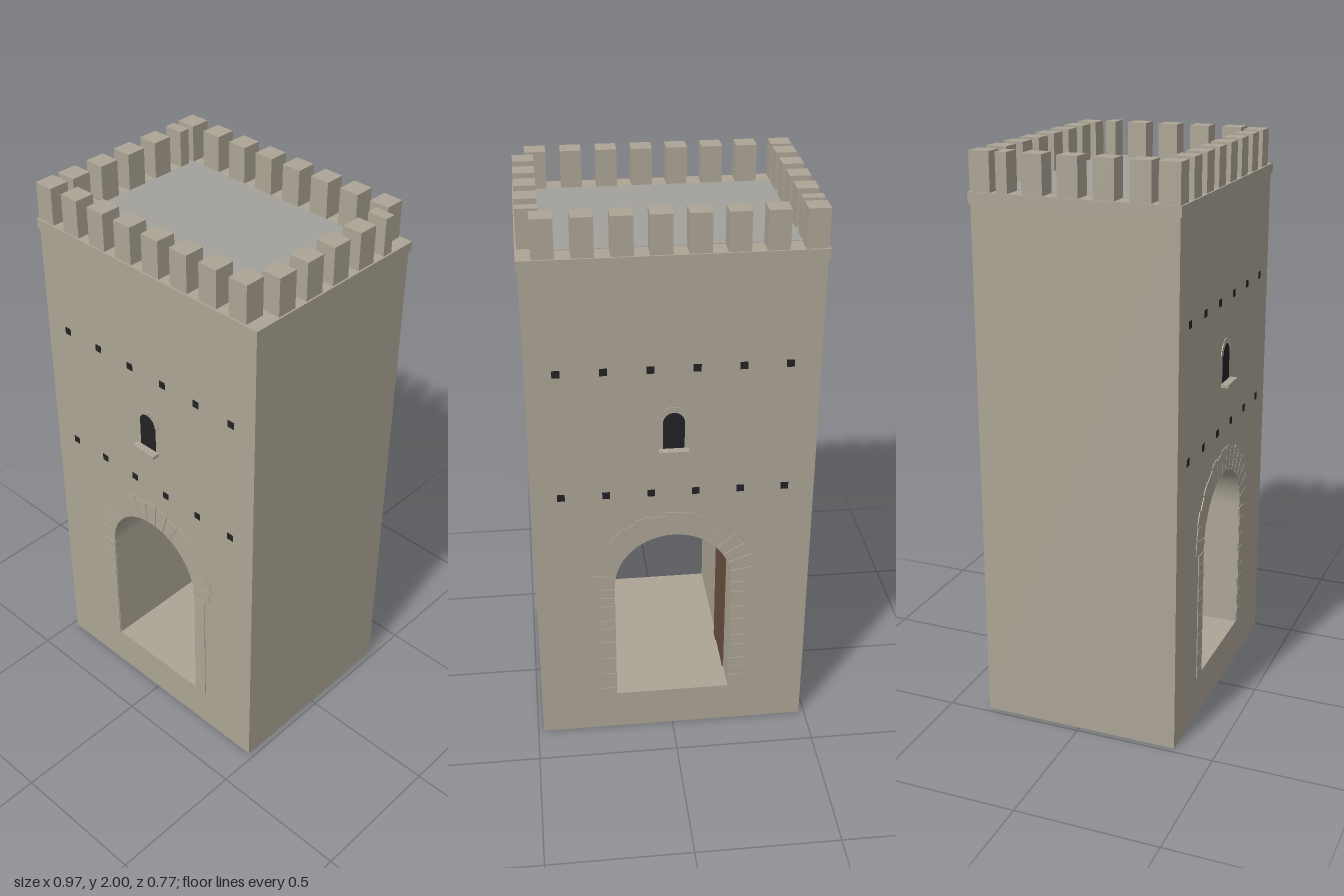
import * as THREE from 'three';

const mat = (color, side = THREE.FrontSide) =>
  new THREE.MeshStandardMaterial({ color, side, flatShading: true });
const STONE = mat(0xaca596), ROOF = mat(0xa3a19a), DARK = mat(0x222226), WOOD = mat(0x6b5040);

const W = 0.48, D = 0.355;            // half width and half depth of the tower
const GATE = { r: 0.205, base: 0.155, spring: 0.64 };
const WINDOW = { r: 0.036, base: 1.185, spring: 1.285 };

function add(parent, name, geometry, material, x = 0, y = 0, z = 0) {
  const mesh = new THREE.Mesh(geometry, material);
  mesh.name = name;
  mesh.position.set(x, y, z);
  parent.add(mesh);
  return mesh;
}

// Box given by its lower and upper corners
function block(parent, name, material, [x0, y0, z0], [x1, y1, z1]) {
  return add(parent, name, new THREE.BoxGeometry(x1 - x0, y1 - y0, z1 - z0), material,
    (x0 + x1) / 2, (y0 + y1) / 2, (z0 + z1) / 2);
}

function archOutline(shape, { r, base, spring }) {
  shape.moveTo(-r, base);
  shape.lineTo(r, base);
  shape.lineTo(r, spring);
  shape.absarc(0, spring, r, 0, Math.PI, false);
  shape.closePath();
  return shape;
}

const extrude = (shape, depth) =>
  new THREE.ExtrudeGeometry(shape, { depth, bevelEnabled: false, curveSegments: 24 });

function seeded(seed) {
  return () => (seed = (seed * 16807) % 2147483647) / 2147483647;
}

// Ring of slightly uneven wedge stones over an arch
function voussoirs(parent, name, cy, inner, outer, count, uneven, depth) {
  const rand = seeded(91);
  const step = Math.PI / count;
  for (let i = 0; i < count; i++) {
    const a0 = i * step + step * 0.03, a1 = (i + 1) * step - step * 0.03;
    const r = outer + (rand() - 0.5) * uneven;
    const s = new THREE.Shape();
    s.absarc(0, 0, r, a0, a1, false);
    s.absarc(0, 0, inner, a1, a0, true);
    s.closePath();
    add(parent, name, new THREE.ExtrudeGeometry(s, { depth, bevelEnabled: false, curveSegments: 3 }),
      STONE, 0, cy, D - 0.001);
  }
}

// Everything applied to one gate wall, built facing +z
function facade() {
  const g = new THREE.Group();
  const rand = seeded(37);

  voussoirs(g, 'gateArchStone', GATE.spring, GATE.r, 0.291, 17, 0.014, 0.004);

  // Jamb stones of varied height beside the gate
  for (const side of [-1, 1]) {
    const heights = Array.from({ length: 9 }, () => 0.6 + rand() * 0.8);
    const scale = (GATE.spring - 0.01 - GATE.base) / heights.reduce((a, b) => a + b);
    let y = GATE.base;
    for (const h of heights) {
      const top = y + h * scale;
      const xs = [side * 0.208, side * 0.258].sort((a, b) => a - b);
      block(g, 'gateJambStone', STONE, [xs[0], y, D - 0.001], [xs[1], top - 0.002, D + 0.003]);
      y = top;
    }
  }

  // Window with sill and small arch
  add(g, 'windowOpening', extrude(archOutline(new THREE.Shape(), WINDOW), 0.002), DARK, 0, 0, D - 0.001);
  voussoirs(g, 'windowArchStone', WINDOW.spring, WINDOW.r, 0.055, 9, 0.006, 0.004);
  block(g, 'windowSill', STONE, [-0.05, 1.175, D - 0.005], [0.05, 1.187, 0.383]);

  // Two rows of beam holes
  for (const y of [1.017, 1.48])
    for (let i = 0; i < 6; i++)
      add(g, 'beamHole', new THREE.BoxGeometry(0.026, 0.026, 0.002), DARK, -0.379 + i * 0.1515, y, D);
  return g;
}

export function createModel() {
  const tower = new THREE.Group();
  tower.name = 'gateTower';

  // Body with the vaulted passage cut through it
  const wall = new THREE.Shape();
  wall.moveTo(-W, 0);
  wall.lineTo(W, 0);
  wall.lineTo(W, 1.84);
  wall.lineTo(-W, 1.84);
  wall.closePath();
  wall.holes.push(archOutline(new THREE.Path(), GATE));
  add(tower, 'body', extrude(wall, D * 2), STONE, 0, 0, -D);

  block(tower, 'cornice', STONE, [-0.486, 1.835, -0.361], [0.486, 1.87, 0.361]);
  block(tower, 'roofFloor', ROOF, [-0.412, 1.86, -0.284], [0.412, 1.872, 0.284]);

  // Front and back walls
  const front = facade();
  front.name = 'frontFacade';
  const back = facade();
  back.name = 'backFacade';
  back.rotation.y = Math.PI;
  tower.add(front, back);

  // Battlements: eight merlons on front and back, five on each side
  const battlements = new THREE.Group();
  battlements.name = 'battlements';
  tower.add(battlements);
  const t = 0.071, step = 0.121;
  for (const z of [-D, D - t])
    for (let i = 0; i < 8; i++) {
      const x = -W + i * step;
      block(battlements, 'merlon', STONE, [x, 1.865, z], [x + t, 2, z + t]);
    }
  for (const x of [-W, W - t])
    for (let i = 0; i < 5; i++) {
      const z1 = 0.261 - i * step;
      const z0 = i === 4 ? z1 - 0.039 : z1 - t;
      block(battlements, 'merlon', STONE, [x, 1.865, z0], [x + t, 2, z1]);
    }

  // Gate leaves folded open against the passage walls, with hinge posts
  for (const side of [-1, 1]) {
    const leaf = new THREE.Group();
    leaf.name = side > 0 ? 'leftGateLeaf' : 'rightGateLeaf';
    const slab = (name, depth, y1, z0, z1) =>
      add(leaf, name, new THREE.BoxGeometry(depth, y1 - GATE.base, z1 - z0), WOOD,
        side * (GATE.r - depth / 2), (y1 + GATE.base) / 2, (z0 + z1) / 2);
    slab('leafBoard', 0.004, 0.67, -0.245, -0.09);
    slab('hingePost', 0.007, 0.67, -0.088, -0.045);
    tower.add(leaf);
  }
  return tower;
}
